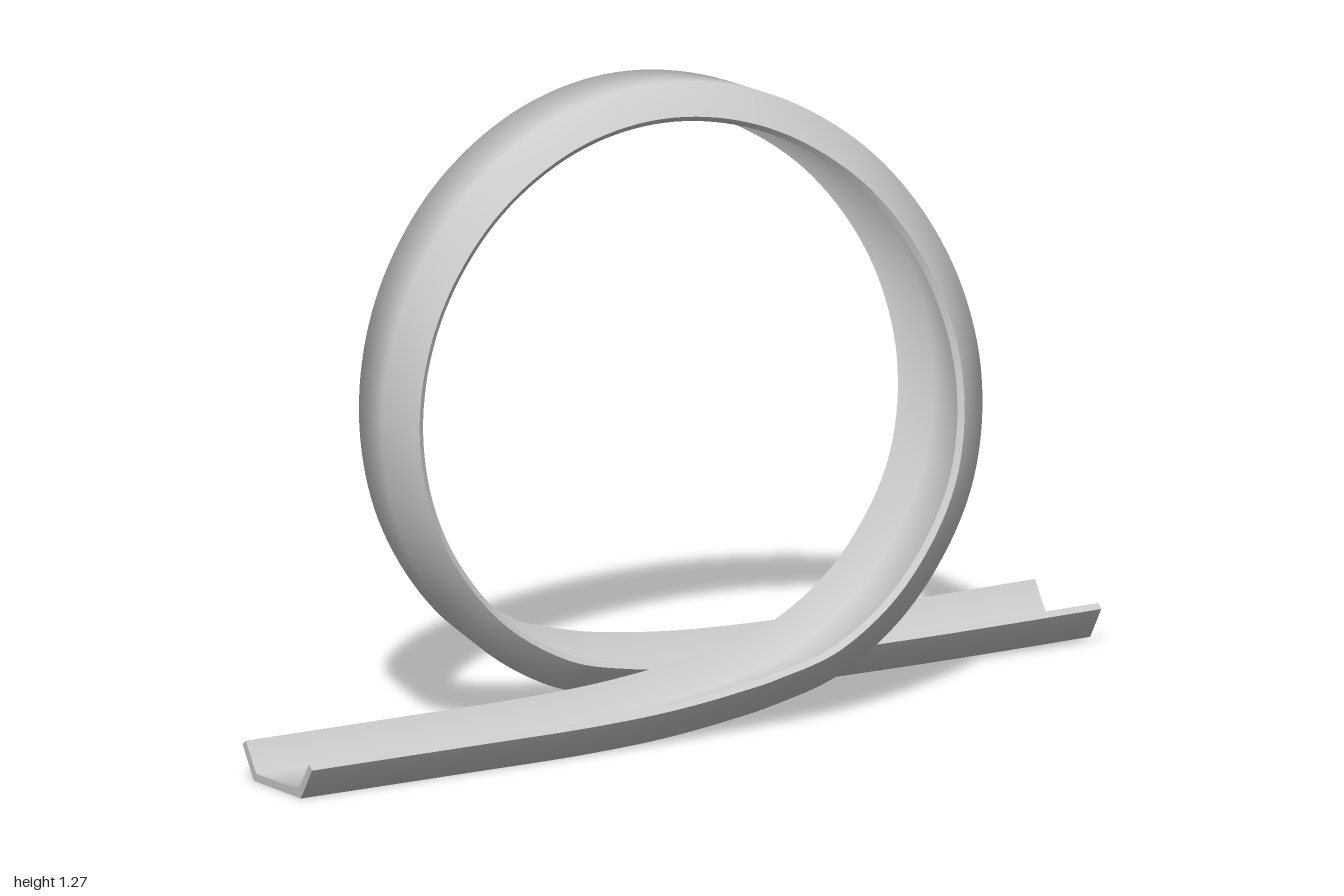
import * as THREE from 'three';
import { toCreasedNormals } from 'three/addons/utils/BufferGeometryUtils.js';

// Closed channel profile: [sideways, inward], flat floor with two flared walls
const PROFILE = [
  [-0.127, 0.065], [-0.086, 0], [0.086, 0], [0.127, 0.065],
  [0.116, 0.075], [0.077, 0.016], [-0.077, 0.016], [-0.116, 0.075],
];

// Stations along the floor: [x, y, z, bank in degrees]
function stations() {
  const list = [[-1, 0, 0.125, 0], [-0.8, 0, 0.125, 0], [-0.6, 0, 0.125, 0], [-0.4, 0, 0.125, 0],
    [-0.3, 0.002, 0.125, 0], [-0.2, 0.006, 0.125, 0], [-0.1, 0.014, 0.125, 0], [0, 0.026, 0.125, 0],
    [0.1, 0.042, 0.125, 0]];
  // loop: [angle from the bottom, z, bank]
  const loop = [[25, 0.125, 0], [45, 0.122, -1], [68, 0.112, -2], [90, 0.08, -3], [112, 0.03, -3],
    [135, -0.025, -1], [158, -0.079, 2], [180, -0.117, 5], [202, -0.133, 9], [225, -0.14, 13],
    [248, -0.143, 16], [270, -0.143, 17], [292, -0.141, 15], [315, -0.137, 11], [335, -0.133, 7]];
  for (const [deg, z, bank] of loop) {
    const a = THREE.MathUtils.degToRad(deg);
    list.push([0.003 + 0.615 * Math.sin(a), 0.645 - 0.615 * Math.cos(a), z, bank]);
  }
  list.push([-0.1, 0.043, -0.13, 4.5], [0, 0.028, -0.128, 3], [0.1, 0.018, -0.127, 2], [0.2, 0.012, -0.126, 1],
    [0.4, 0.007, -0.126, 0], [0.6, 0.006, -0.126, 0], [0.8, 0.007, -0.126, 0], [1, 0.009, -0.126, 0]);
  return list;
}

// Sweeps the profile along the stations, banking as it goes
function trackGeometry(steps) {
  const pts = stations();
  const path = new THREE.CatmullRomCurve3(pts.map(p => new THREE.Vector3(p[0], p[1], p[2])));
  const banks = new THREE.CatmullRomCurve3(pts.map(p => new THREE.Vector3(p[3], 0, 0)), false, 'catmullrom');
  const zAxis = new THREE.Vector3(0, 0, 1);
  const n = PROFILE.length, pos = [], index = [];

  for (let i = 0; i <= steps; i++) {
    const t = i / steps;
    const c = path.getPoint(t);
    const T = path.getTangent(t);
    if (i === 0 || i === steps) T.set(1, 0, 0);
    const side = zAxis.clone().addScaledVector(T, -T.z).normalize();
    const up = new THREE.Vector3().crossVectors(side, T);
    // a positive bank moves the front edge outward
    const bank = THREE.MathUtils.degToRad(banks.getPoint(t).x);
    side.applyAxisAngle(T, bank);
    up.applyAxisAngle(T, bank);
    for (const [u, v] of PROFILE) {
      const p = c.clone().addScaledVector(side, u).addScaledVector(up, v);
      pos.push(p.x, p.y, p.z);
    }
  }
  for (let i = 0; i < steps; i++) {
    for (let j = 0; j < n; j++) {
      const a = i * n + j, b = i * n + (j + 1) % n;
      index.push(a, b, a + n, b, b + n, a + n);
    }
  }
  // end caps, one quad for each wall and the floor
  const e = steps * n;
  for (const [a, b, c, d] of [[0, 1, 6, 7], [1, 2, 5, 6], [2, 3, 4, 5]]) {
    index.push(a, c, b, a, d, c);
    index.push(e + a, e + b, e + c, e + a, e + c, e + d);
  }
  const g = new THREE.BufferGeometry();
  g.setAttribute('position', new THREE.Float32BufferAttribute(pos, 3));
  g.setIndex(index);
  // soft bend between floor and walls, sharp rims and ends
  return toCreasedNormals(g, 1.15);
}

export function createModel() {
  const group = new THREE.Group();
  group.name = 'loopTrack';
  const material = new THREE.MeshStandardMaterial({ color: 0xcccccc, side: THREE.DoubleSide });
  const track = new THREE.Mesh(trackGeometry(280), material);
  track.name = 'trackChannel';
  group.add(track);
  return group;
}
